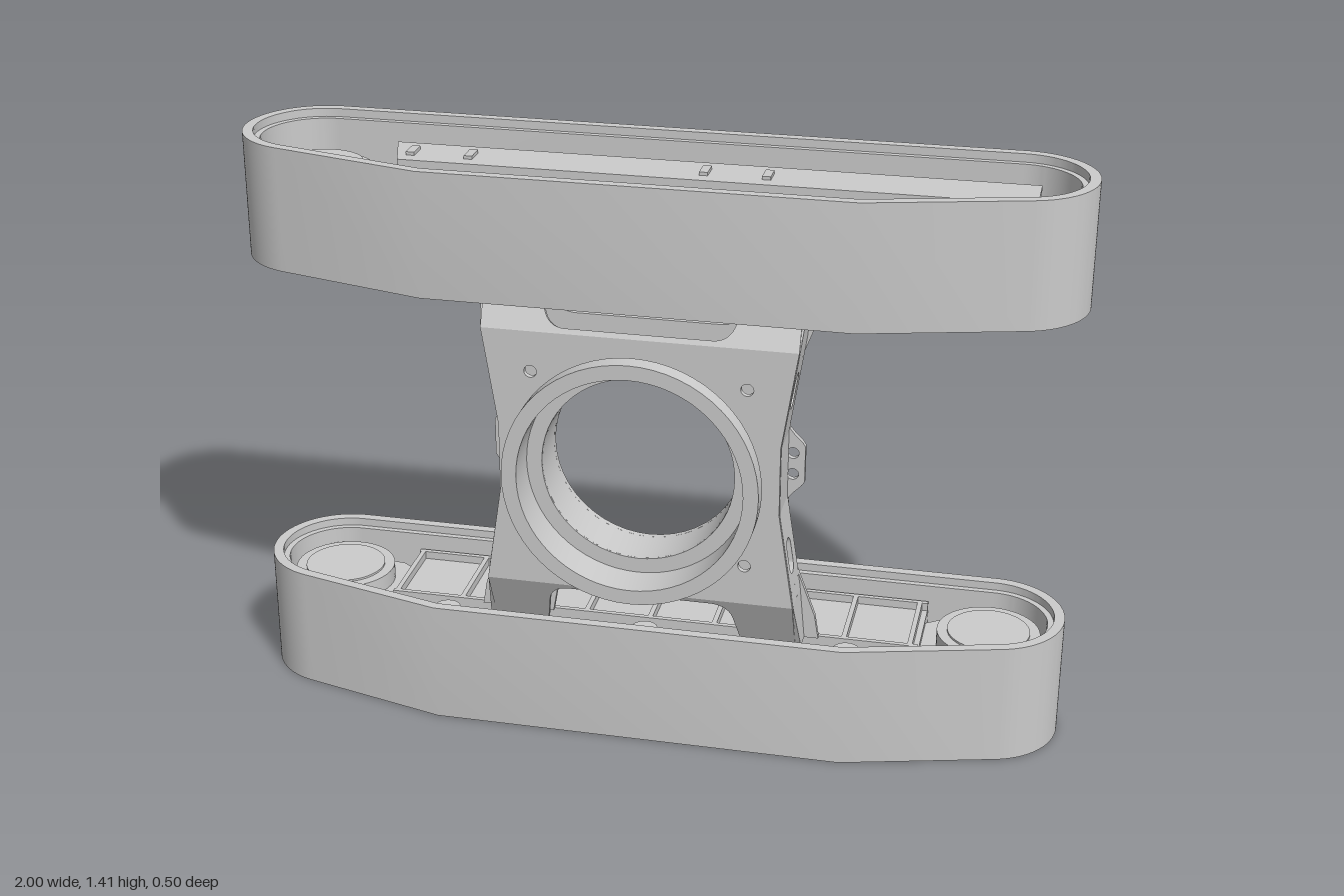
import * as THREE from 'three';
import { toCreasedNormals } from 'three/addons/utils/BufferGeometryUtils.js';

const MID = 0.705, HEIGHT = 1.41;
const grey = new THREE.MeshStandardMaterial({ color: 0xcccccc, side: THREE.DoubleSide });

function add(group, name, geometry) {
  const mesh = new THREE.Mesh(toCreasedNormals(geometry, 0.5), grey);
  mesh.name = name;
  group.add(mesh);
  return mesh;
}

const poly = (pts) => new THREE.Shape(pts.map(([x, y]) => new THREE.Vector2(x, y)));
const rect = (x0, x1, y0, y1) => poly([[x0, y0], [x1, y0], [x1, y1], [x0, y1]]);
const disc = (x, y, r) => new THREE.Shape().absarc(x, y, r, 0, Math.PI * 2, false);
const extrude = (shape, depth) =>
  new THREE.ExtrudeGeometry(shape, { depth, bevelEnabled: false, curveSegments: 24 });

// Belt outline, moved inwards by d
function beltLoop(d) {
  const a = 1.827, r = 0.18 - d, x = 0.5 - 0.13 * d, s = new THREE.Shape();
  s.moveTo(-x, 0.2 - d);
  s.lineTo(x, 0.2 - d);
  s.absarc(0.82, -0.07, r, Math.PI - a, -Math.PI / 2, true);
  s.lineTo(-0.82, -0.25 + d);
  s.absarc(-0.82, -0.07, r, -Math.PI / 2, a - Math.PI * 2, true);
  s.closePath();
  return s;
}

function beltBand(inner, outer) {
  const s = beltLoop(outer);
  s.holes.push(beltLoop(inner));
  return s;
}

// One track; y counts from its outer side, and the upper one is mirrored
function buildTrack(upper) {
  const track = new THREE.Group();
  track.name = upper ? 'upperTrack' : 'lowerTrack';
  const Y = (y) => (upper ? HEIGHT - y : y);
  // Prism standing on a plan shape (x, z)
  const slab = (name, shape, y0, y1) => {
    const g = extrude(shape, y1 - y0).rotateX(Math.PI / 2);
    add(track, name, g.translate(0, Math.max(Y(y0), Y(y1)), 0));
  };

  slab('belt', beltBand(0.025, 0), 0, 0.303);
  slab('beltGuide', beltBand(0.04, 0.024), 0.02, 0.283);

  // End wheels, hubs and forks
  for (const s of [-1, 1]) {
    slab('endWheel', disc(s * 0.82, -0.07, 0.125), 0.1, 0.25);
    slab('wheelHub', disc(s * 0.82, -0.07, 0.1), 0.085, 0.255);
    slab('wheelFork', poly([[s * 0.78, -0.19], [s * 0.7, -0.18], [s * 0.6, -0.11],
      [s * 0.6, 0.02], [s * 0.75, 0.05]]), 0.13, 0.21);
  }

  // Side frame: outer beam, rear cover and inner deck with ribs
  slab('outerBeam', poly([[-0.64, -0.11], [0.87, -0.11], [0.87, 0.02], [-0.6, 0.02]]), 0.035, 0.1);
  slab('rearCover', rect(-0.61, 0.74, -0.215, -0.1), 0.08, 0.13);
  slab('innerDeck', rect(-0.66, 0.66, -0.2, 0.03), 0.18, 0.225);
  slab('beamWeb', rect(-0.6, 0.66, -0.1, 0), 0.09, 0.19);
  for (const z of [-0.2, 0.02]) slab('deckEdge', rect(-0.66, 0.66, z, z + 0.012), 0.17, 0.245);
  for (const x of [-0.65, -0.48, -0.16, 0, 0.16, 0.48, 0.64])
    slab('deckRib', rect(x - 0.006, x + 0.006, -0.2, 0.03), 0.22, 0.245);
  for (const x of [-0.58, -0.44, 0.115, 0.26])
    slab('beamTab', rect(x - 0.01, x + 0.01, -0.065, -0.015), 0.027, 0.04);

  // Lower rollers on short posts
  for (const x of [-0.5, 0, 0.495]) {
    slab('roller', disc(x, 0.09, 0.032), 0.06, 0.25);
    slab('rollerPost', rect(x - 0.018, x + 0.018, 0.02, 0.08), 0.11, 0.21);
  }
  slab('rollerRail', rect(-0.4, 0.4, 0.02, 0.05), 0.11, 0.2);

  // Triangular gussets bracing the chassis
  for (const x of [-0.32, 0.32]) {
    const tri = poly([[-0.035, Y(0.335)], [-0.035, Y(0.22)], [0.13, Y(0.22)], [0.02, Y(0.26)]]);
    add(track, 'gusset', extrude(tri, 0.016).rotateY(Math.PI / 2).translate(x - 0.008, 0, 0));
  }
  return track;
}

// Mirror a right-hand edge (x, v) across x = 0, with notches at both ends
function plateShape(edge, notched) {
  const side = [...edge.slice().reverse().map(([x, v]) => [x, -v]), ...edge];
  const s = new THREE.Shape();
  side.forEach(([x, v], i) => (i ? s.lineTo(x, v) : s.moveTo(x, v)));
  if (notched) {
    s.lineTo(0.24, 0.46); s.lineTo(0.225, 0.375);
    s.quadraticCurveTo(0.215, 0.335, 0.17, 0.335);
    s.lineTo(-0.17, 0.335);
    s.quadraticCurveTo(-0.215, 0.335, -0.225, 0.375);
    s.lineTo(-0.24, 0.46);
  }
  side.slice().reverse().forEach(([x, v]) => s.lineTo(-x, v));
  if (notched) {
    s.lineTo(-0.24, -0.46); s.lineTo(-0.225, -0.375);
    s.quadraticCurveTo(-0.215, -0.335, -0.17, -0.335);
    s.lineTo(0.17, -0.335);
    s.quadraticCurveTo(0.215, -0.335, 0.225, -0.375);
    s.lineTo(0.24, -0.46);
  }
  s.closePath();
  s.holes.push(disc(0, 0, 0.23));
  for (const x of [-0.255, 0.255])
    for (const v of [-0.225, 0.225]) s.holes.push(disc(x, v, 0.015));
  return s;
}

function buildChassis() {
  const chassis = new THREE.Group();
  chassis.name = 'chassis';
  chassis.position.y = MID;

  // Back plate with drilled ears
  const back = plateShape([[0.376, 0.045], [0.37, 0.055], [0.35, 0.075], [0.338, 0.09],
    [0.337, 0.17], [0.35, 0.24], [0.41, 0.4], [0.42, 0.46]], true);
  for (const x of [-0.347, 0.347])
    for (const v of [-0.027, 0.027]) back.holes.push(disc(x, v, 0.014));
  add(chassis, 'backPlate', extrude(back, 0.014).translate(0, 0, 0.03));

  // Front plate and its bent, notched ends
  const front = plateShape([[0.335, 0.085], [0.365, 0.28], [0.372, 0.325]], false);
  add(chassis, 'frontPlate', extrude(front, 0.014).translate(0, 0, 0.141));
  for (const sv of [-1, 1]) {
    const lip = new THREE.Shape();
    lip.moveTo(-0.372, 0);
    lip.lineTo(0.372, 0);
    lip.lineTo(0.372, sv * 0.15);
    lip.lineTo(0.24, sv * 0.15);
    lip.lineTo(0.225, sv * 0.06);
    lip.quadraticCurveTo(0.215, sv * 0.013, 0.17, sv * 0.013);
    lip.lineTo(-0.17, sv * 0.013);
    lip.quadraticCurveTo(-0.215, sv * 0.013, -0.225, sv * 0.06);
    lip.lineTo(-0.24, sv * 0.15);
    lip.lineTo(-0.372, sv * 0.15);
    add(chassis, 'bentEnd', extrude(lip, 0.014).translate(0, 0, -0.014)
      .rotateX(-sv * 0.44).translate(0, sv * 0.325, 0.155));
  }

  // Side walls: each panel runs from (x, v) to (x, v), with its front z at both ends
  const wall = (sx, p, q, z0, z1, slotted) => {
    const a = new THREE.Vector3(sx * p[0], p[1], 0), b = new THREE.Vector3(sx * q[0], q[1], 0);
    const len = a.distanceTo(b), along = b.clone().sub(a).normalize();
    const out = new THREE.Vector3(0, 0, 1).cross(along);
    const s = poly([[0.04, 0], [z0, 0], [z1, len], [0.04, len]]);
    if (slotted) {
      const m = len * 0.62, slot = new THREE.Path();
      slot.absarc(0.103, m + 0.022, 0.023, 0, Math.PI, false);
      slot.absarc(0.103, m - 0.022, 0.023, Math.PI, Math.PI * 2, false);
      s.holes.push(slot);
    }
    const m4 = new THREE.Matrix4().makeBasis(new THREE.Vector3(0, 0, 1), along, out).setPosition(a);
    add(chassis, 'sideWall', extrude(s, 0.012).translate(0, 0, -0.006).applyMatrix4(m4));
  };
  for (const sx of [-1, 1]) {
    wall(sx, [0.33, -0.085], [0.33, 0.085], 0.15, 0.15, false);
    for (const sv of [-1, 1]) {
      wall(sx, [0.33, sv * 0.085], [0.362, sv * 0.29], 0.15, 0.15, true);
      wall(sx, [0.362, sv * 0.29], [0.367, sv * 0.325], 0.15, 0.15, false);
      wall(sx, [0.367, sv * 0.325], [0.38, sv * 0.46], 0.15, 0.09, false);
    }
  }

  // Slewing ring with a bore through the chassis
  const profile = [[0.24, 0.03], [0.24, 0.15], [0.273, 0.15], [0.273, 0.21], [0.303, 0.21],
    [0.303, 0.255], [0.267, 0.255], [0.267, 0.16], [0.23, 0.16], [0.23, 0.03], [0.24, 0.03]];
  add(chassis, 'slewingRing', new THREE.LatheGeometry(
    profile.map(([r, z]) => new THREE.Vector2(r, z)), 64).rotateX(Math.PI / 2));
  return chassis;
}

export function createModel() {
  const model = new THREE.Group();
  model.name = 'trackedUndercarriage';
  model.add(buildTrack(false), buildTrack(true), buildChassis());
  return model;
}
